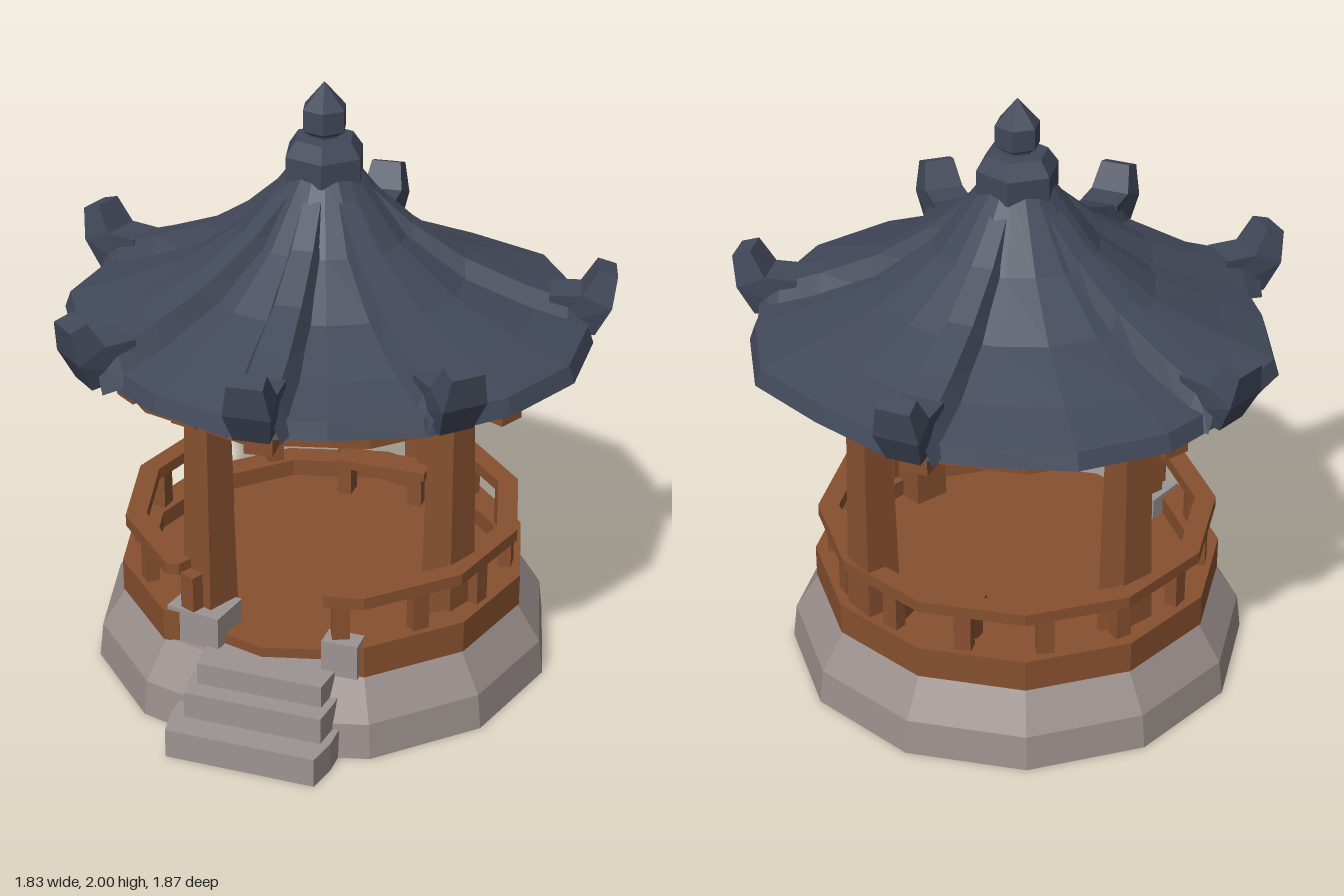
import * as THREE from 'three';

const mat = (name, color, side = THREE.FrontSide) => {
  const m = new THREE.MeshStandardMaterial({ color, side });
  m.name = name;
  return m;
};
const DEG = Math.PI / 180;
const polar = (deg, r, y = 0) => new THREE.Vector3(r * Math.sin(deg * DEG), y, r * Math.cos(deg * DEG));
const V2 = (x, y) => new THREE.Vector2(x, y);

// Faceted normals for the low-poly look
function flat(geo) {
  const g = geo.index ? geo.toNonIndexed() : geo;
  g.computeVertexNormals();
  return g;
}

export function createModel() {
  const model = new THREE.Group();
  const wood = mat('wood', 0x87502f);
  const ceilingWood = mat('ceilingWood', 0x7a4629, THREE.DoubleSide);
  const tile = mat('roofTile', 0x414859);
  const stone = mat('foundationStone', 0x9a8f8c);
  const stepStone = mat('stepStone', 0x9c9492);
  const gold = mat('lanternPaper', 0xdab972);

  function add(name, geo, material, parent = model) {
    const m = new THREE.Mesh(flat(geo), material);
    m.name = name;
    parent.add(m);
    return m;
  }
  // Axis-aligned block from its limits
  const block = (name, x0, x1, y0, y1, z0, z1, material) =>
    add(name, new THREE.BoxGeometry(x1 - x0, y1 - y0, z1 - z0)
      .translate((x0 + x1) / 2, (y0 + y1) / 2, (z0 + z1) / 2), material);
  const turned = (pts, sides) => new THREE.LatheGeometry(pts.map(p => V2(...p)), sides);
  const lathe = (name, pts, sides, material, turn = 0) =>
    add(name, turned(pts, sides).rotateY(turn * DEG), material);

  // Twelve-sided ring; between start and end angles it may stay open at the front
  function ring(name, start, end, rIn, rOut, y0, y1) {
    const angles = [start];
    for (let a = 30; a <= 330; a += 30) angles.push(a);
    angles.push(end);
    const at = r => angles.map(a => {
      const p = polar(a, a % 30 ? r * 0.96 : r);
      return V2(p.x, -p.z);
    });
    const shape = new THREE.Shape([...at(rOut), ...at(rIn).reverse()]);
    const geo = new THREE.ExtrudeGeometry(shape, { depth: y1 - y0, bevelEnabled: false });
    add(name, geo.rotateX(-Math.PI / 2).translate(0, y0, 0), wood);
  }

  // Stone foundation and steps
  lathe('foundation', [[0, 0], [0.774, 0], [0.76, 0.12], [0.675, 0.255], [0, 0.26]], 12, stone);
  [[-0.23, 0.27, -0.25, 0.29, 0, 0.1, 0.87], [-0.2, 0.26, -0.215, 0.27, 0.1, 0.19, 0.78],
    [-0.18, 0.24, -0.19, 0.25, 0.19, 0.265, 0.715]].forEach(([xf0, xf1, xb0, xb1, y0, y1, z]) => {
    // Each tread narrows slightly toward its front edge
    const outline = new THREE.Shape([V2(xf0, -z), V2(xf1, -z), V2(xb1, -z + 0.1), V2(xb1, -0.5),
      V2(xb0, -0.5), V2(xb0, -z + 0.1)]);
    add('step', new THREE.ExtrudeGeometry(outline, { depth: y1 - y0, bevelEnabled: false })
      .rotateX(-Math.PI / 2).translate(0, y0, 0), stepStone);
  });
  block('leftCornerStone', 0.205, 0.325, 0.25, 0.37, 0.54, 0.615, stepStone);
  const corner = block('rightCornerStone', -0.095, 0.095, 0.25, 0.375, -0.07, 0.08, stepStone);
  corner.position.set(-0.225, 0, 0.52);
  corner.rotation.y = -10 * DEG;

  // Floor, kerb and railing
  add('floor', new THREE.CylinderGeometry(0.61, 0.61, 0.045, 12).translate(0, 0.2775, 0), wood);
  ring('floorKerb', 25, 334, 0.59, 0.685, 0.25, 0.36);
  ring('handrail', 19, 333, 0.6, 0.67, 0.49, 0.53);
  for (let a = 24; a <= 336; a += 24) {
    const post = block('railPost', -0.028, 0.028, 0.35, 0.5, -0.022, 0.022, wood);
    post.position.copy(polar(a, 0.62));
    post.rotation.y = a * DEG;
  }

  // Bench at the back
  block('benchSeat', -0.11, 0.22, 0.41, 0.44, -0.53, -0.42, wood);
  [-0.08, 0.18].forEach(x => block('benchLeg', x - 0.025, x + 0.025, 0.29, 0.41, -0.51, -0.44, wood));

  // Four tapered pillars with capitals
  [[-0.22, 0.485], [0.5, 0.215], [0.25, -0.53], [-0.505, -0.21]].forEach(([x, z]) => {
    const pillar = new THREE.Group();
    pillar.name = 'pillar';
    add('pillarShaft', new THREE.CylinderGeometry(0.07, 0.09, 0.86, 4).rotateY(45 * DEG)
      .translate(0, 0.69, 0), wood, pillar);
    add('pillarCapital', new THREE.BoxGeometry(0.16, 0.05, 0.16).translate(0, 1.09, 0), wood, pillar);
    pillar.position.set(x, 0, z);
    pillar.rotation.y = Math.atan2(x, z);
    model.add(pillar);
  });

  // Tie beams crossing between the pillars
  [-24, 66].forEach(a => {
    const beam = block('crossBeam', -0.035, 0.035, 1.03, 1.11, -0.58, 0.58, wood);
    beam.rotation.y = a * DEG;
  });

  // Beam rings and eave brackets
  ring('lowerBeamRing', 0, 360, 0.53, 0.6, 1.03, 1.12);
  ring('upperBeamRing', 0, 360, 0.6, 0.73, 1.09, 1.16);
  for (let i = 0; i < 18; i++) {
    const long = i % 3 === 0;
    const b = block('eaveBracket', -0.045, 0.045, long ? 1.1 : 1.12, 1.19, 0.6, long ? 0.8 : 0.76, wood);
    b.rotation.y = (5 + i * 20) * DEG;
  }
  lathe('ceiling', [[0.7, 1.15], [0.4, 1.22], [0, 1.3]], 12, ceilingWood);

  // Hanging lantern
  lathe('lanternBase', [[0, 0.775], [0.05, 0.775], [0.074, 0.805], [0, 0.805]], 8, wood);
  add('lanternBody', new THREE.CylinderGeometry(0.076, 0.076, 0.11, 8).translate(0, 0.86, 0), gold);
  lathe('lanternCap', [[0, 0.91], [0.076, 0.91], [0.04, 0.935], [0.03, 0.955], [0.045, 0.99], [0.02, 1.05]], 8, wood);

  // Curved roof; the eave radius varies around the slightly uneven outline
  const eave = [0.85, 0.82, 0.85, 0.865, 0.885, 0.87, 0.865, 0.885, 0.83, 0.85, 0.825, 0.86, 0.865, 0.845,
    0.865, 0.81, 0.81, 0.82];
  const roof = turned([[0.62, 1.2], [0.8, 1.165], [0.87, 1.17], [0.85, 1.225], [0.68, 1.28], [0.46, 1.37],
    [0.27, 1.51], [0.11, 1.72]], 18);
  const rp = roof.attributes.position;
  for (let i = 0; i < rp.count; i++) {
    const x = rp.getX(i), z = rp.getZ(i);
    const k = (Math.round(Math.atan2(x, z) / DEG / 20) + 18) % 18;
    const s = 1 + (eave[k] / 0.87 - 1) * Math.hypot(x, z) / 0.87;
    rp.setXYZ(i, x * s, rp.getY(i), z * s);
  }
  add('roof', roof, tile);

  // Ridge stations: distance from centre, top height, half width at the foot
  const stations = [[0.07, 1.74, 0.05], [0.15, 1.66, 0.055], [0.28, 1.545, 0.07], [0.45, 1.433, 0.085],
    [0.64, 1.352, 0.105], [0.78, 1.3, 0.11], [0.85, 1.28, 0.085]];
  function ridgeGeometry() {
    const pos = [];
    const sections = stations.map(([r, y, w]) =>
      [[-w, y - 0.11, r], [w, y - 0.11, r], [w * 0.5, y, r], [-w * 0.5, y, r]]);
    for (let k = 0; k < sections.length - 1; k++) {
      for (let i = 0; i < 4; i++) {
        const j = (i + 1) % 4;
        const [a, b, c, d] = [sections[k][i], sections[k][j], sections[k + 1][j], sections[k + 1][i]];
        pos.push(...a, ...b, ...c, ...a, ...c, ...d);
      }
    }
    const g = new THREE.BufferGeometry();
    g.setAttribute('position', new THREE.Float32BufferAttribute(pos, 3));
    return g;
  }
  // Upturned ridge end, drawn in side profile and narrowed toward its tip
  const hornShape = new THREE.Shape([[0.72, 1.2], [0.87, 1.18], [0.92, 1.28], [0.935, 1.385], [0.875, 1.405],
    [0.825, 1.32], [0.72, 1.32]].map(p => V2(...p)));
  function hornGeometry() {
    const g = new THREE.ExtrudeGeometry(hornShape, { depth: 0.15, bevelEnabled: false })
      .rotateY(-Math.PI / 2).translate(0.075, 0, 0);
    const p = g.attributes.position;
    for (let i = 0; i < p.count; i++) {
      const lift = Math.abs(p.getY(i) - 1.28) / 0.12;
      p.setX(i, p.getX(i) * (1 - 0.3 * lift));
    }
    return g;
  }
  [5, 46, 106, 185, 256, 321].forEach(a => {
    const ridge = new THREE.Group();
    ridge.name = 'roofRidge';
    add('ridge', ridgeGeometry(), tile, ridge);
    add('ridgeHorn', hornGeometry(), tile, ridge);
    ridge.rotation.y = a * DEG;
    model.add(ridge);
  });

  // Roof crown and finial
  lathe('crown', [[0, 1.68], [0.135, 1.69], [0.135, 1.77], [0.1, 1.82], [0, 1.825]], 6, tile, 15);
  lathe('finial', [[0.05, 1.81], [0.05, 1.83], [0.074, 1.845], [0.074, 1.915], [0, 2]], 6, tile, 15);

  return model;
}
